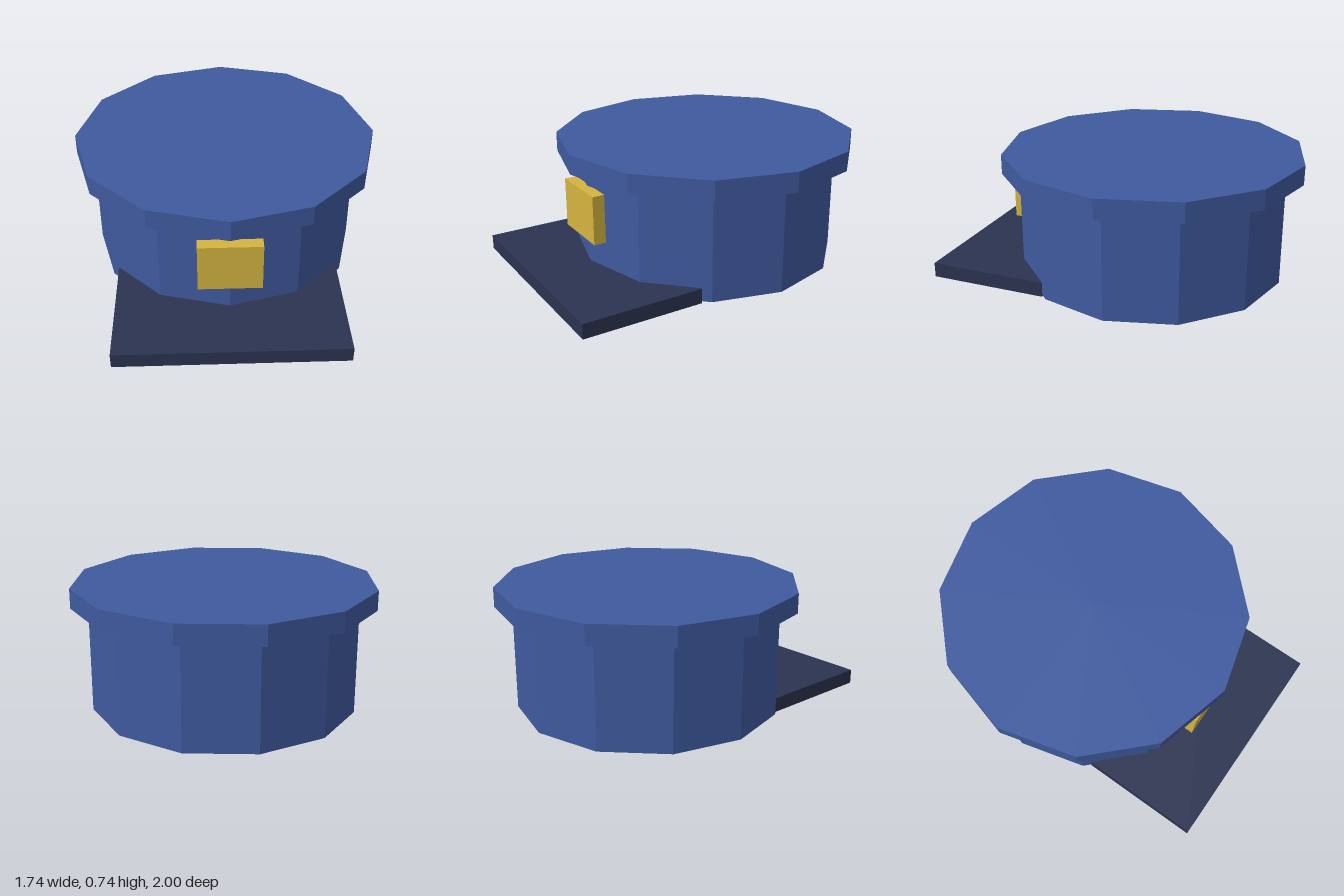
import * as THREE from 'three';

const BLUE = 0x3f5a9f, NAVY = 0x2b3350, GOLD = 0xd4b440;
const CROWN_Z = -0.128; // the crown sits behind the brim

export function createModel() {
  const cap = new THREE.Group();
  cap.name = 'peakedCap';

  const add = (name, geometry, color, x, y, z) => {
    const mesh = new THREE.Mesh(geometry, new THREE.MeshStandardMaterial({ color, flatShading: true }));
    mesh.name = name;
    mesh.position.set(x, y, z);
    cap.add(mesh);
  };

  // Twelve-sided disc between two heights
  const addDisc = (name, radius, y0, y1) =>
    add(name, new THREE.CylinderGeometry(radius, radius, y1 - y0, 12), BLUE, 0, (y0 + y1) / 2, CROWN_Z);

  // Box between two heights and two depths, centred on x
  const addBox = (name, width, y0, y1, z0, z1, color) =>
    add(name, new THREE.BoxGeometry(width, y1 - y0, z1 - z0), color, 0, (y0 + y1) / 2, (z0 + z1) / 2);

  // Crown: tall band with an overhanging flat top
  addDisc('band', 0.774, 0.01, 0.622);
  addDisc('top', 0.872, 0.622, 0.735);

  // Flat brim at the front and a badge on the band
  addBox('brim', 1.27, 0, 0.086, 0.3, 1, NAVY);
  addBox('badge', 0.35, 0.258, 0.538, 0.63, 0.7, GOLD);

  return cap;
}
